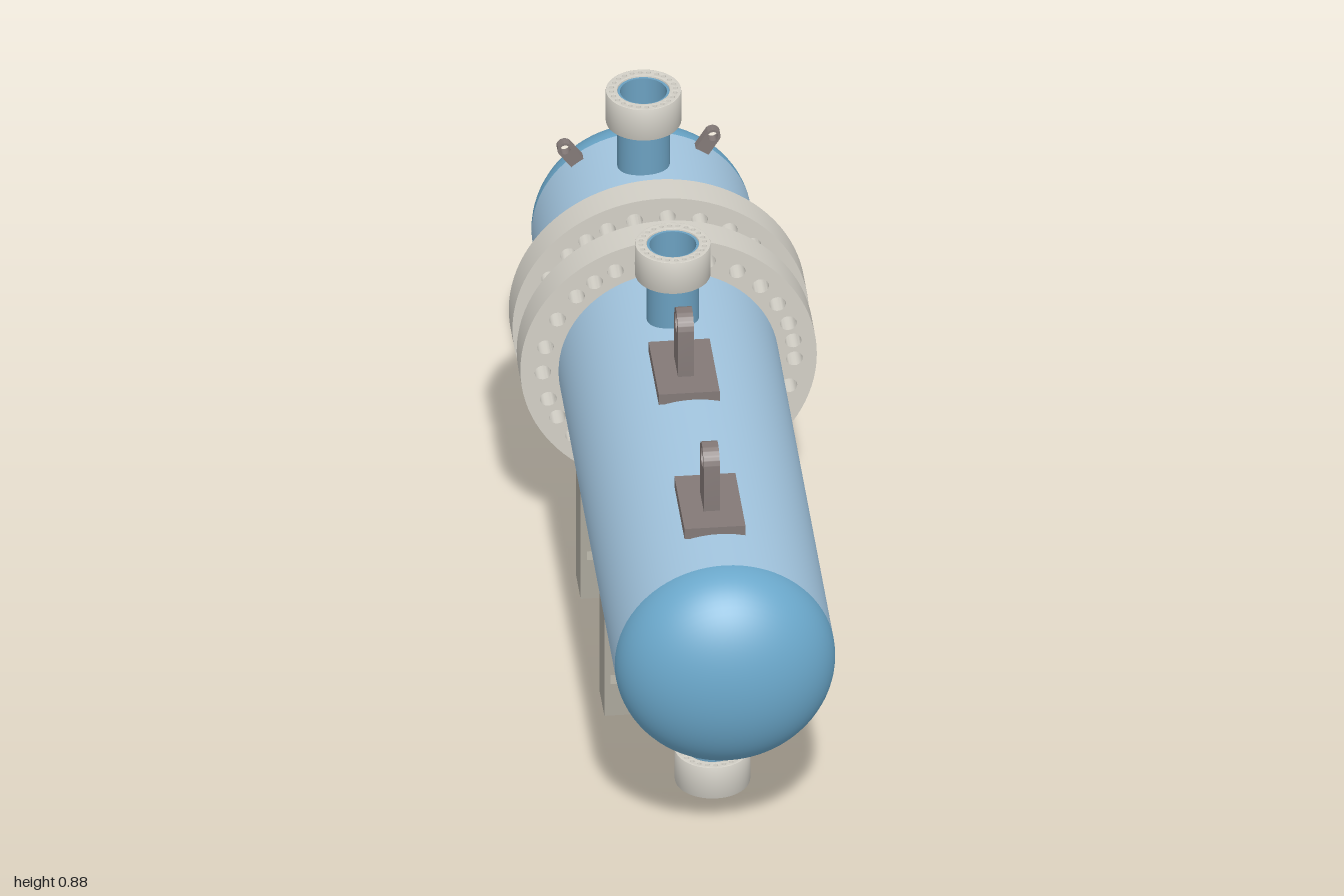
import * as THREE from 'three';
import { toCreasedNormals } from 'three/addons/utils/BufferGeometryUtils.js';

const AXIS = 0.472, R = 0.231, HALF = 0.84, NX = -0.008;
const mat = (color) => new THREE.MeshStandardMaterial({ color });
const M = {
  shell: mat(0xa3c6e0), head: mat(0x6ba8cb), pipe: mat(0x6ba0c0),
  flange: mat(0xd2cfc6), saddle: mat(0xaba79c), lug: mat(0x837977),
};

function add(parent, name, geometry, material, x = 0, y = 0, z = 0) {
  const mesh = new THREE.Mesh(geometry, material);
  mesh.name = name;
  mesh.position.set(x, y, z);
  parent.add(mesh);
  return mesh;
}

const box = (w, h, d) => new THREE.BoxGeometry(w, h, d);

// Regular polygon ring used for outlines and holes
function ring(Type, x, y, r, n) {
  const pts = [];
  for (let i = 0; i < n; i++) {
    const a = (i / n) * Math.PI * 2;
    pts.push(new THREE.Vector2(x + r * Math.cos(a), y + r * Math.sin(a)));
  }
  return new Type(pts);
}

// Extrusion centred on its depth, with smooth curved sides
function extrude(shape, depth, bevel = 0) {
  const g = new THREE.ExtrudeGeometry(shape, {
    depth: depth - 2 * bevel, curveSegments: 32, bevelEnabled: bevel > 0,
    bevelSize: bevel, bevelOffset: -bevel, bevelThickness: bevel, bevelSegments: 2,
  });
  g.translate(0, 0, -depth / 2 + bevel);
  return toCreasedNormals(g, 0.6);
}

// Flat ring with a circle of bolt holes
function boltedRing(outer, inner, boltR, holeR, angles, n, holeN) {
  const s = ring(THREE.Shape, 0, 0, outer, n);
  s.holes.push(ring(THREE.Path, 0, 0, inner, n));
  for (const a of angles) {
    const t = THREE.MathUtils.degToRad(a);
    s.holes.push(ring(THREE.Path, boltR * Math.cos(t), boltR * Math.sin(t), holeR, holeN));
  }
  return s;
}

// Upright plate with a round top and an eye, standing on y = 0
function eyePlate(w, h, eyeY, eyeR, thick) {
  const s = new THREE.Shape();
  s.moveTo(-w / 2, 0);
  s.lineTo(w / 2, 0);
  s.lineTo(w / 2, h - w / 2);
  s.absarc(0, h - w / 2, w / 2, 0, Math.PI, false);
  s.lineTo(-w / 2, 0);
  s.holes.push(ring(THREE.Path, 0, eyeY, eyeR, 24));
  return extrude(s, thick);
}

// Open pipe with a thick bolted collar, pointing up from the shell axis
function nozzle(name, z, down) {
  const g = new THREE.Group();
  g.name = name;
  const pts = [[0.049, 0.2], [0.055, 0.2], [0.055, 0.404], [0.049, 0.404], [0.049, 0.2]];
  const pipe = new THREE.LatheGeometry(pts.map((p) => new THREE.Vector2(...p)), 40);
  add(g, 'nozzlePipe', toCreasedNormals(pipe, 0.6), M.pipe);
  const angles = Array.from({ length: 24 }, (_, i) => i * 15);
  const collar = extrude(boltedRing(0.079, 0.0545, 0.067, 0.0045, angles, 48, 8), 0.077, 0.002);
  collar.rotateX(-Math.PI / 2);
  add(g, 'nozzleFlange', collar, M.flange, 0, 0.3695, 0);
  g.position.set(NX, AXIS, z);
  if (down) g.rotation.x = Math.PI;
  return g;
}

// Support with a base, a thin web, end plates and inner ribs under the shell
function saddle(name, z, bottom) {
  const g = new THREE.Group();
  g.name = name;
  const w = 0.2, depth = 0.098, baseTop = 0.095;
  add(g, 'saddleBase', box(2 * w, baseTop - bottom, depth), M.saddle, 0, (baseTop + bottom) / 2, 0);
  const a = Math.acos(w / R);
  const web = new THREE.Shape();
  web.moveTo(-w, baseTop);
  web.lineTo(w, baseTop);
  web.lineTo(w, AXIS - R * Math.sin(a));
  web.absarc(0, AXIS, R - 0.002, -a, -Math.PI + a, true);
  add(g, 'saddleWeb', extrude(web, 0.03), M.saddle);
  for (const side of [-1, 1]) {
    add(g, 'saddleEndPlate', box(0.013, 0.355 - baseTop, depth), M.saddle,
      side * (w - 0.0065), (0.355 + baseTop) / 2, 0);
    add(g, 'saddleRib', box(0.014, 0.262 - baseTop, depth), M.saddle,
      side * 0.079, (0.262 + baseTop) / 2, 0);
  }
  g.position.z = z;
  return g;
}

export function createModel() {
  const model = new THREE.Group();
  model.name = 'heatExchanger';

  // Cylindrical shell along z
  const shell = new THREE.CylinderGeometry(R, R, 2 * HALF, 80, 1, true);
  shell.rotateX(Math.PI / 2);
  add(model, 'shell', shell, M.shell, 0, AXIS, 0);

  // Domed end heads
  for (const side of [1, -1]) {
    const dome = new THREE.SphereGeometry(1, 80, 20, 0, Math.PI * 2, 0, Math.PI / 2);
    dome.scale(R, 0.16, R);
    dome.rotateX(side * Math.PI / 2);
    add(model, side > 0 ? 'frontHead' : 'rearHead', dome, M.head, 0, AXIS, side * HALF);
  }

  // Pair of large bolted girth flanges
  const bolts = [-41, -28, -17, -2, 8, 18, 30, 43, 57, 72, 87, 102, 115, 126, 137, 152,
    168, 182, 197, 208, 221, 235, 249, 263, 277, 291, 305];
  for (const z of [-0.335, -0.495]) {
    const flange = extrude(boltedRing(0.311, 0.225, 0.264, 0.0175, bolts, 96, 20), 0.075);
    add(model, 'girthFlange', flange, M.flange, 0, 0.48, z).scale.y = 0.972;
  }

  // Nozzles above and below
  model.add(nozzle('topMiddleNozzle', -0.135, false), nozzle('topRearNozzle', -0.729, false),
    nozzle('bottomFrontNozzle', 0.667, true), nozzle('bottomRearNozzle', -0.727, true));

  // Supports
  model.add(saddle('frontSaddle', 0.282, 0.017), saddle('rearSaddle', -0.198, 0));

  // Lifting lugs on pads along the top
  for (const z of [0.616, 0.095]) {
    const lug = new THREE.Group();
    lug.name = 'liftingLug';
    add(lug, 'lugPad', box(0.128, 0.025, 0.205), M.lug, 0, -0.0125, 0);
    add(lug, 'lugPlate', eyePlate(0.077, 0.142, 0.112, 0.022, 0.034), M.lug).rotation.y = Math.PI / 2;
    lug.position.set(NX, 0.72, z);
    model.add(lug);
  }

  // Small eye lugs near the rear head
  for (const deg of [127, 57.7]) {
    const t = THREE.MathUtils.degToRad(deg);
    const eye = add(model, 'eyeLug', eyePlate(0.032, 0.062, 0.046, 0.011, 0.021), M.lug,
      0.227 * Math.cos(t), AXIS + 0.227 * Math.sin(t), -0.818);
    eye.rotation.z = t - Math.PI / 2;
  }
  return model;
}
